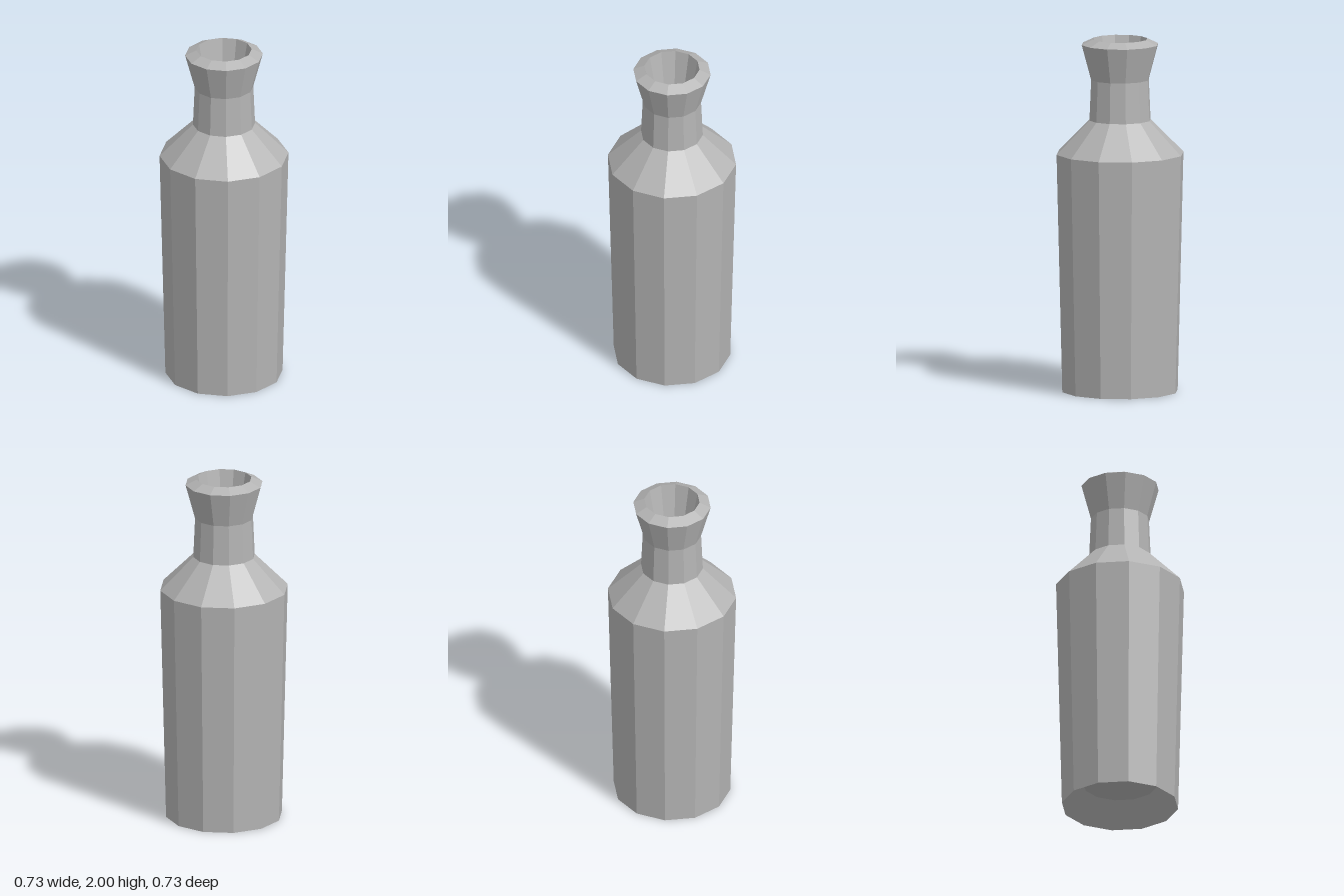
import * as THREE from 'three';

const SIDES = 12;

export function createModel() {
  const model = new THREE.Group();
  model.name = 'bottle';

  const grey = new THREE.MeshStandardMaterial({ color: 0xb4b4b4, flatShading: true });
  grey.name = 'grey';

  // Spins a list of [radius, height] points into a faceted ring
  function addLathe(name, profile) {
    const points = profile.map(([r, y]) => new THREE.Vector2(r, y));
    const mesh = new THREE.Mesh(new THREE.LatheGeometry(points, SIDES), grey);
    mesh.name = name;
    model.add(mesh);
  }

  // Recessed underside, from its centre out to the foot
  addLathe('base', [[0, 0.13], [0.208, 0.13], [0.33, 0]]);
  // Tapered body and sloping shoulder
  addLathe('body', [[0.33, 0], [0.363, 1.35], [0.175, 1.54]]);
  // Neck with its flared, bevelled lip
  addLathe('neck', [[0.175, 1.54], [0.165, 1.77], [0.219, 1.97], [0.156, 2]]);
  // Funnel-shaped mouth, down to its closed floor
  addLathe('mouth', [[0.156, 2], [0.112, 1.77], [0, 1.77]]);

  return model;
}
